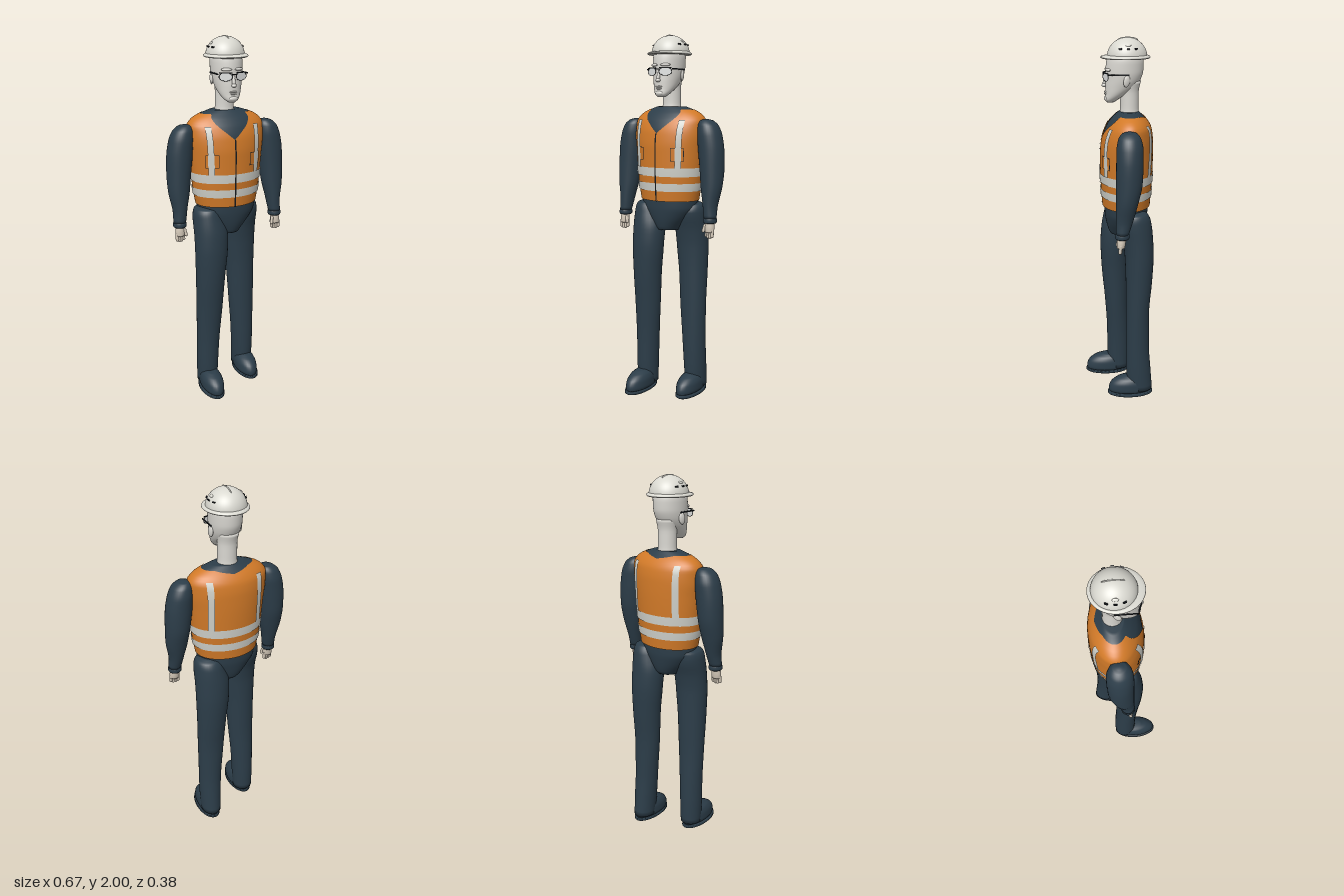
import * as THREE from 'three';
import { mergeVertices } from 'three/addons/utils/BufferGeometryUtils.js';

const mat = (name, color, side = THREE.FrontSide) => {
  const m = new THREE.MeshStandardMaterial({ color, side });
  m.name = name;
  return m;
};

// Smooth section through rows [y, centreX, halfWidth, frontZ, backZ], y rising, no overshoot
function section(rows, y) {
  let i = 0;
  while (i < rows.length - 2 && y > rows[i + 1][0]) i++;
  const slope = (j, c) => (rows[j + 1][c] - rows[j][c]) / (rows[j + 1][0] - rows[j][0]);
  const tangent = (j, c) => {
    if (j === 0) return slope(0, c);
    if (j === rows.length - 1) return slope(j - 1, c);
    const a = slope(j - 1, c), b = slope(j, c);
    return a * b <= 0 ? 0 : (2 * a * b) / (a + b);
  };
  const h = rows[i + 1][0] - rows[i][0], t = (y - rows[i][0]) / h, t2 = t * t, t3 = t2 * t;
  return [1, 2, 3, 4].map(c => (2 * t3 - 3 * t2 + 1) * rows[i][c] + (t3 - 2 * t2 + t) * h * tangent(i, c)
    + (3 * t2 - 2 * t3) * rows[i + 1][c] + (t3 - t2) * h * tangent(i + 1, c));
}

// Point on a lofted body: angle 0 faces front, a quarter turn faces +x
function onBody(rows, angle, y, off = 0) {
  const [cx, rx, zf, zb] = section(rows, y);
  return [cx + (rx + off) * Math.sin(angle), y, (zf + zb) / 2 + ((zf - zb) / 2 + off) * Math.cos(angle)];
}

// Grid surface from a rule (u, v) -> point
function grid(rule, nu, nv) {
  const pos = [], index = [];
  for (let j = 0; j <= nv; j++) for (let i = 0; i <= nu; i++) pos.push(...rule(i / nu, j / nv));
  for (let j = 0; j < nv; j++) for (let i = 0; i < nu; i++) {
    const a = j * (nu + 1) + i, d = a + nu + 1;
    index.push(a, a + 1, d + 1, a, d + 1, d);
  }
  let g = new THREE.BufferGeometry();
  g.setAttribute('position', new THREE.Float32BufferAttribute(pos, 3));
  g.setIndex(index);
  g = mergeVertices(g, 1e-5);
  g.computeVertexNormals();
  return g;
}

// Closed loft, capped at both ends
function loft(rows, nu = 32, sub = 4) {
  const ys = [];
  for (let i = 0; i < rows.length - 1; i++)
    for (let k = 0; k < sub; k++) ys.push(rows[i][0] + (rows[i + 1][0] - rows[i][0]) * k / sub);
  ys.push(rows[rows.length - 1][0]);
  const nv = ys.length + 1;
  return grid((u, v) => {
    const j = Math.round(v * nv), y = ys[Math.min(Math.max(j - 1, 0), ys.length - 1)];
    if (j > 0 && j < nv) return onBody(rows, (u % 1) * Math.PI * 2, y);
    const [cx, , zf, zb] = section(rows, y);
    return [cx, y, (zf + zb) / 2];
  }, nu, nv);
}

const TORSO = [
  [1.115, 0, .172, .088, -.172], [1.2, 0, .187, .094, -.178], [1.3, 0, .197, .098, -.183],
  [1.4, 0, .206, .098, -.185], [1.48, 0, .214, .09, -.183], [1.54, 0, .214, .07, -.174],
  [1.58, 0, .187, .042, -.152], [1.605, 0, .14, .018, -.128], [1.622, 0, .09, 0, -.112]];

export function createModel() {
  const root = new THREE.Group();
  root.name = 'worker';
  const navy = mat('navyCloth', 0x2c3d49);
  const orange = mat('orangeVest', 0xd27a28, THREE.DoubleSide);
  const silver = mat('reflectiveTape', 0xcfd0c9, THREE.DoubleSide);
  const black = mat('blackTrim', 0x15191d, THREE.DoubleSide);
  const pale = mat('paleSkin', 0xd9d7d1);
  const hand = mat('handSkin', 0xd3c8b8);
  const shell = mat('helmetShell', 0xdad9d1);
  const lensMat = mat('lens', 0xe2e4e3, THREE.DoubleSide);
  const add = (name, geo, m, p = [0, 0, 0], s = [1, 1, 1], r = [0, 0, 0], parent = root) => {
    const mesh = new THREE.Mesh(geo, m);
    mesh.name = name;
    mesh.position.set(...p);
    mesh.scale.set(...s);
    mesh.rotation.set(...r);
    parent.add(mesh);
    return mesh;
  };
  const ball = new THREE.SphereGeometry(1, 24, 16);

  // Shirt and hips
  add('shirt', loft(TORSO.map(([y, c, w, f, b]) => [y, c, w - .005, f - .005, b + .005]), 48), navy);
  add('hips', loft([[.95, 0, .07, .045, -.12], [.97, 0, .085, .055, -.135], [1.03, 0, .135, .07, -.152],
    [1.08, 0, .163, .076, -.16], [1.15, 0, .168, .078, -.162]], 40), navy);

  // Vest with a V neck in front and a shallow scoop behind
  const vestTop = a => {
    const x = Math.abs(Math.sin(a)) * .2;
    return Math.cos(a) > 0 ? Math.min(1.606, 1.48 + x * .92) : Math.min(1.606, 1.588 + x * .14);
  };
  add('vest', grid((u, v) => {
    const a = (u % 1) * Math.PI * 2;
    return onBody(TORSO, a, 1.115 + (vestTop(a) - 1.115) * v);
  }, 96, 36), orange);
  for (const [lo, hi] of [[1.17, 1.213], [1.25, 1.297]])
    add('waistTape', grid((u, v) => onBody(TORSO, (u % 1) * Math.PI * 2, lo + (hi - lo) * v, .004), 64, 3), silver);

  // Plates that follow the vest, given by x range and height
  const plate = (name, m, x0, x1, y0, y1, off, back = false, lean = 0) => add(name, grid((u, v) => {
    const y = y0 + (y1 - y0) * v, x = x0 + (x1 - x0) * u + lean * v;
    const a = Math.asin(x / section(TORSO, y)[1]);
    return onBody(TORSO, back ? Math.PI - a : a, y, off);
  }, 4, 12), m);
  plate('zip', black, -.004, .004, 1.115, 1.48, .005);
  for (const s of [-1, 1]) {
    plate('frontTape', silver, s * .106, s * .135, 1.297, 1.55, .008, false, s * .009);
    plate('backTape', silver, s * .112, s * .142, 1.297, 1.565, .006, true, s * .004);
    plate('pocketEdge', black, s * .085, s * .15, 1.335, 1.405, .003);
    plate('pocket', orange, s * .088, s * .147, 1.338, 1.402, .005);
  }

  // Arms, cuffs and hands
  for (const s of [-1, 1]) {
    const mirror = rows => rows.map(([y, c, ...rest]) => [y, c * s, ...rest]);
    add('sleeve', loft(mirror([[1.035, .283, .034, .03, -.037], [1.1, .277, .039, .03, -.058],
      [1.2, .275, .058, .029, -.085], [1.3, .27, .066, .028, -.106], [1.4, .262, .07, .027, -.11],
      [1.47, .253, .066, .025, -.11], [1.52, .243, .055, .016, -.1], [1.548, .233, .034, -.005, -.08],
      [1.556, .23, .01, -.032, -.052]])), navy);
    add('cuff', loft(mirror([[1.01, .283, .032, .03, -.036], [1.016, .283, .036, .034, -.04],
      [1.03, .283, .036, .034, -.041], [1.037, .283, .033, .03, -.038]]), 28, 2), navy);
    add('palm', loft(mirror([[.962, .285, .024, .026, -.016], [.985, .284, .027, .026, -.02],
      [1.02, .283, .023, .022, -.024]]), 20), hand);
    for (let i = 0; i < 4; i++)
      add('finger', new THREE.CapsuleGeometry(.0085, .034, 4, 10), hand,
        [s * (.304 - i * .013), .958 - (i === 1 || i === 2 ? .006 : 0), .008 - i * .002], [1, 1, 1.1], [-.12, 0, 0]);
    add('thumb', new THREE.CapsuleGeometry(.0085, .03, 4, 10), hand, [s * .259, .982, .018], [1, 1, 1], [-.2, 0, s * -.2]);
  }

  // Legs and shoes, right leg a stride ahead: [y, centreX, halfWidth], then front and back z
  const legShape = [[.035, .132, .058], [.15, .131, .062], [.3, .127, .066], [.5, .12, .075], [.7, .115, .083],
    [.85, .109, .092], [.95, .107, .094], [1.05, .117, .083], [1.09, .12, .07], [1.105, .12, .04]];
  const depth = {
    left: [[-.05, -.187], [-.038, -.178], [-.035, -.167], [-.035, -.165], [-.034, -.18],
      [-.028, -.187], [-.015, -.182], [.005, -.168], [-.01, -.15], [-.04, -.12]],
    right: [[.05, -.07], [.058, -.072], [.06, -.068], [.072, -.06], [.09, -.06],
      [.096, -.062], [.09, -.075], [.07, -.1], [.055, -.1], [.02, -.07]]
  };
  for (const [side, s, heel] of [['left', 1, -.19], ['right', -1, -.07]]) {
    add(side + 'Leg', loft(legShape.map(([y, c, w], i) => [y, c * s, w, ...depth[side][i]])), navy);
    const toe = heel + .26;
    add(side + 'Shoe', loft([[.022, s * .132, .056, toe - .008, heel + .008], [.04, s * .132, .061, toe - .006, heel + .004],
      [.07, s * .132, .06, toe - .016, heel + .01], [.1, s * .132, .05, toe - .05, heel + .02],
      [.118, s * .132, .028, toe - .1, heel + .05]]), navy);
    add(side + 'Sole', loft([[0, s * .134, .055, toe - .012, heel + .01], [.008, s * .134, .065, toe, heel],
      [.022, s * .134, .063, toe - .002, heel + .002]], 32, 2), navy);
  }

  // Neck and head
  add('neck', loft([[1.58, 0, .058, 0, -.115], [1.64, 0, .05, -.01, -.106], [1.72, 0, .05, -.008, -.106],
    [1.78, 0, .06, .01, -.118]]), pale);
  const HEAD = [[1.67, 0, .018, .062, .022], [1.685, 0, .038, .071, 0], [1.715, 0, .057, .068, -.045],
    [1.75, 0, .069, .068, -.09], [1.79, 0, .078, .066, -.117], [1.83, 0, .082, .066, -.129],
    [1.88, 0, .083, .062, -.131], [1.93, 0, .07, .045, -.115]];
  add('head', loft(HEAD, 40), pale);
  add('noseBridge', ball, pale, [0, 1.782, .068], [.009, .033, .011], [-.25, 0, 0]);
  add('noseTip', ball, pale, [0, 1.758, .074], [.013, .01, .013]);
  add('upperLip', ball, pale, [0, 1.725, .067], [.021, .0045, .007]);
  add('lowerLip', ball, pale, [0, 1.715, .067], [.018, .005, .007]);
  add('chin', ball, pale, [0, 1.69, .062], [.024, .014, .013]);
  for (const s of [-1, 1]) {
    add('ear', ball, pale, [s * .08, 1.785, -.038], [.009, .03, .018], [-.15, s * .3, 0]);
    add('brow', ball, pale, [s * .035, 1.838, .056], [.028, .008, .01], [0, s * .4, 0]);
  }

  // Safety glasses
  for (const s of [-1, 1]) {
    const eye = new THREE.Group();
    eye.name = 'eyepiece';
    eye.position.set(s * .043, 1.803, .068);
    eye.rotation.y = s * .35;
    root.add(eye);
    add('lens', new THREE.CircleGeometry(1, 28), lensMat, [0, 0, 0], [.035, .021, 1], [0, 0, 0], eye);
    add('frame', new THREE.TorusGeometry(1, .055, 6, 32), black, [0, 0, 0], [.035, .021, .025], [0, 0, 0], eye);
    add('browBar', new THREE.BoxGeometry(.066, .005, .005), black, [0, .019, 0], [1, 1, 1], [0, 0, 0], eye);
    add('temple', new THREE.BoxGeometry(.004, .007, .11), black, [s * .082, 1.816, .003]);
  }
  add('bridge', new THREE.BoxGeometry(.024, .005, .005), black, [0, 1.815, .08]);

  // Hard hat: dome, brim with a front peak, ridges and vents
  const dome = new THREE.SphereGeometry(1, 48, 16, 0, Math.PI * 2, 0, Math.PI / 2);
  add('dome', dome, shell, [0, 1.9, -.045], [.102, .097, .104]);
  add('brim', loft([[1.893, 0, .109, .085, -.158], [1.898, 0, .115, .093, -.165], [1.904, 0, .113, .09, -.163],
    [1.91, 0, .104, .062, -.152]], 48, 2), shell);
  add('crownRidge', ball, shell, [0, 1.985, -.048], [.005, .015, .052]);
  for (const s of [-1, 1]) {
    add('sideRidge', ball, shell, [s * .077, 1.963, -.045], [.005, .008, .015], [0, 0, s * .7]);
    for (const z of [-.085, -.045, -.005])
      add('vent', new THREE.BoxGeometry(.009, .007, .016), black, [s * (z === -.045 ? .091 : .083), 1.945, z],
        [1, 1, 1], [0, s * (z + .045) * -10, s * .35]);
  }
  return root;
}
